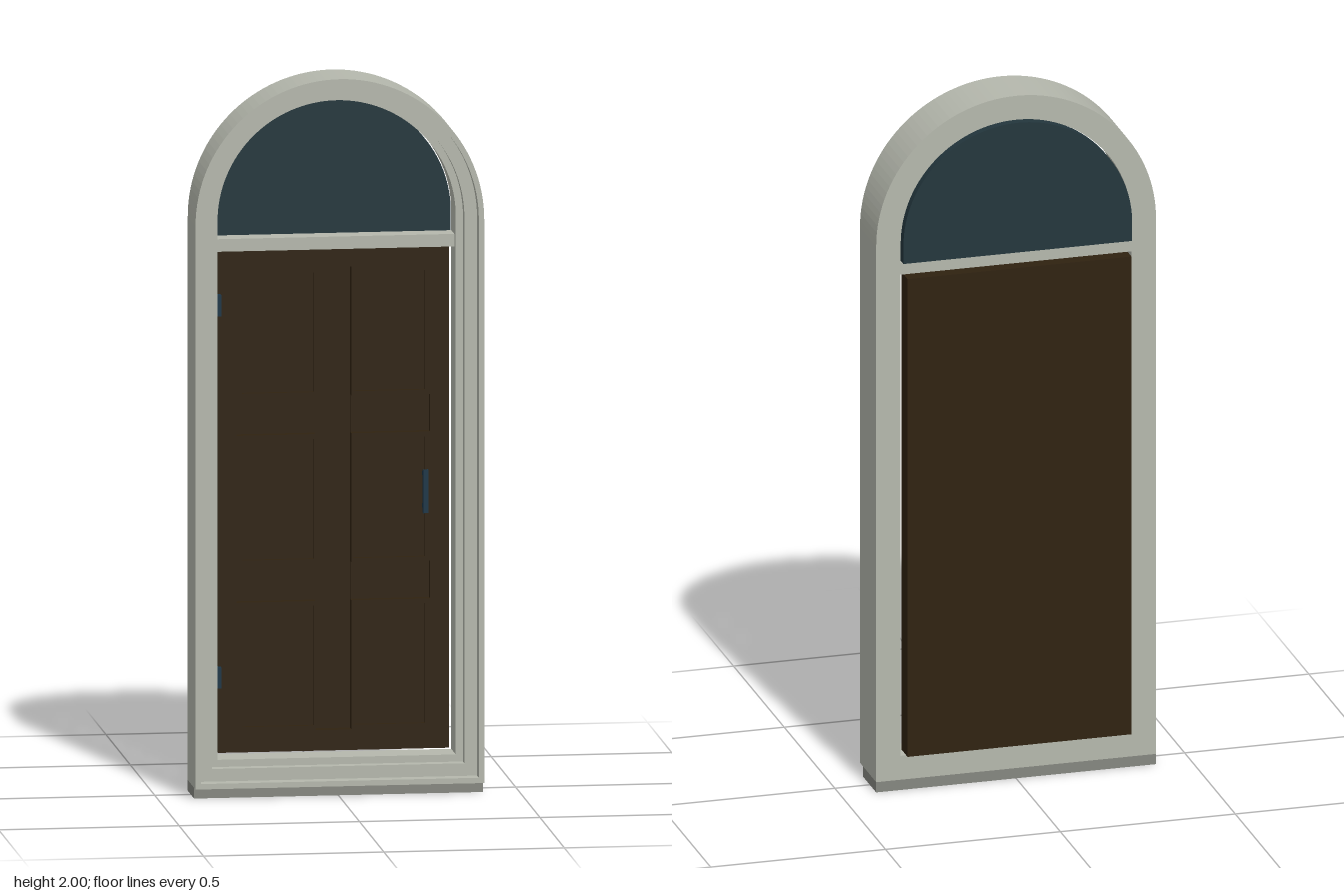
import * as THREE from 'three';

const mat = (name, color) => {
  const m = new THREE.MeshStandardMaterial({ color });
  m.name = name;
  return m;
};

// Round-headed outline: half width r, springing at y = 1.6, flat base
function arch(r, base, Type = THREE.Shape) {
  const s = new Type();
  s.moveTo(-r, base);
  s.lineTo(r, base);
  s.lineTo(r, 1.6);
  s.absarc(0, 1.6, r, 0, Math.PI, false);
  s.closePath();
  return s;
}

const path = (pts) => new THREE.Path(pts.map(([x, y]) => new THREE.Vector2(x, y)));
const rect = (x0, x1, y0, y1) => path([[x0, y0], [x1, y0], [x1, y1], [x0, y1]]);

export function createModel() {
  const model = new THREE.Group();
  model.name = 'archedDoor';
  const stone = mat('pale stone', 0xb5b8ad);
  const sillStone = mat('grey sill', 0x858780);
  const wood = mat('dark wood', 0x2f2210);
  const glass = mat('dark glass', 0x23363d);
  const metal = mat('blue metal', 0x1b3547);

  const add = (name, geometry, material) => {
    const mesh = new THREE.Mesh(geometry, material);
    mesh.name = name;
    model.add(mesh);
  };
  const box = (name, material, x0, x1, y0, y1, z0, z1) => {
    const g = new THREE.BoxGeometry(x1 - x0, y1 - y0, z1 - z0);
    g.translate((x0 + x1) / 2, (y0 + y1) / 2, (z0 + z1) / 2);
    add(name, g, material);
  };
  const extrude = (name, material, shape, z0, z1) => {
    const g = new THREE.ExtrudeGeometry(shape, { depth: z1 - z0, bevelEnabled: false, curveSegments: 32 });
    g.translate(0, 0, z0);
    add(name, g, material);
  };

  // Stepped frame: each nested ring sits further back than the one around it
  const steps = [
    [0.4, 0.385, 0.097],
    [0.385, 0.35, 0.06],
    [0.35, 0.33, 0.03],
  ];
  for (const [outer, inner, front] of steps) {
    const ring = arch(outer, 0.43 - outer);
    ring.holes.push(arch(inner, 0.43 - inner, THREE.Path));
    extrude('frameStep', stone, ring, -0.063, front);
  }
  box('sill', sillStone, -0.4, 0.4, 0, 0.03, -0.063, 0.067);
  box('transom', stone, -0.33, 0.33, 1.51, 1.545, -0.063, 0);

  // Fanlight above the transom
  extrude('fanlight', glass, arch(0.327, 1.547), -0.08, -0.05);

  // Door: backing slab and a carved face
  const face = -0.035, back = -0.075;
  box('doorBacking', wood, -0.32, 0.32, 0.108, 1.508, -0.097, back);
  const doorFace = new THREE.Shape(rect(-0.32, 0.32, 0.108, 1.508).getPoints());
  const rails = [[0.525, 0.63], [0.99, 1.095]];
  const panels = [[0.178, 0.513], [0.642, 0.977], [1.107, 1.44]];

  // Sunken centre stile with its two cross rails
  const s = 0.05, r = 0.268;
  const right = [[s, 0.165]];
  for (const [y0, y1] of rails) right.push([s, y0], [r, y0], [r, y1], [s, y1]);
  right.push([s, 1.455]);
  const left = right.map(([x, y]) => [-x, y]).reverse();
  doorFace.holes.push(path([...right, ...left]));

  for (const side of [-1, 1]) {
    const span = (a, b) => (side > 0 ? [a, b] : [-b, -a]);
    const [px0, px1] = span(0.055, 0.254);
    for (const [y0, y1] of panels) {
      doorFace.holes.push(rect(px0, px1, y0, y1));
      box('panel', wood, px0, px1, y0, y1, back, face - 0.015);
    }
    const [rx0, rx1] = span(s, r);
    for (const [y0, y1] of rails) box('rail', wood, rx0, rx1, y0, y1, back, face - 0.025);
  }
  box('stile', wood, -s, s, 0.165, 1.455, back, face - 0.032);
  extrude('doorFace', wood, doorFace, back, face);

  // Handle bar on two short stems, and hinges
  box('handle', metal, 0.243, 0.258, 0.77, 0.89, -0.006, 0.008);
  for (const y of [0.785, 0.875]) box('handleStem', metal, 0.246, 0.255, y - 0.006, y + 0.006, face, -0.006);
  for (const y of [0.32, 1.357]) box('hinge', metal, -0.33, -0.313, y - 0.029, y + 0.029, -0.045, -0.012);

  return model;
}
